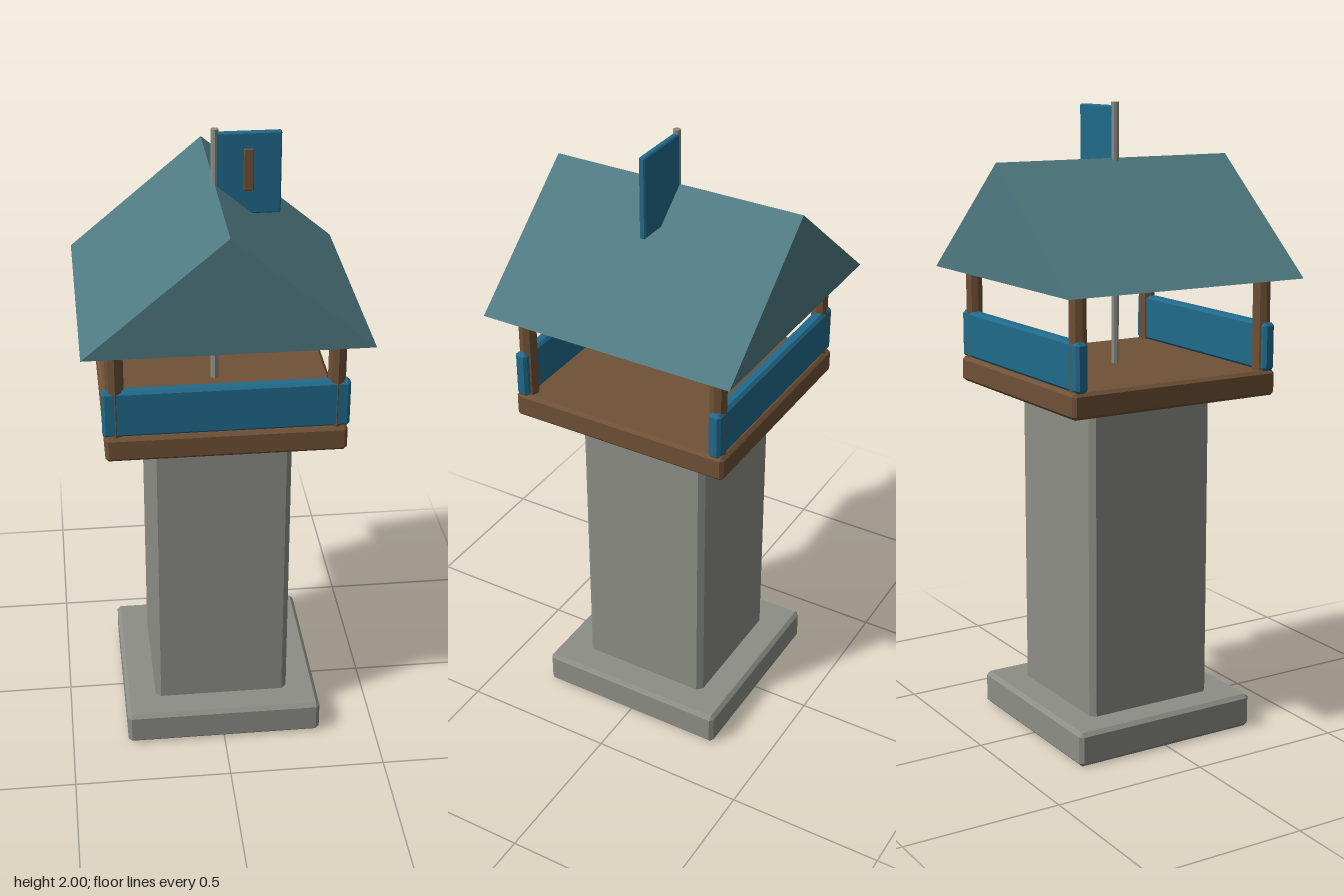
import * as THREE from 'three';
import { ConvexGeometry } from 'three/addons/geometries/ConvexGeometry.js';

const paint = (name, color) => {
  const m = new THREE.MeshStandardMaterial({ color, flatShading: true });
  m.name = name;
  return m;
};

// Box with all edges chamfered by c, as the hull of three points per corner
function chamferBox(w, h, d, c) {
  const pts = [];
  for (const sx of [-1, 1]) for (const sy of [-1, 1]) for (const sz of [-1, 1]) {
    const x = w / 2, y = h / 2, z = d / 2;
    pts.push(
      new THREE.Vector3(sx * x, sy * (y - c), sz * (z - c)),
      new THREE.Vector3(sx * (x - c), sy * y, sz * (z - c)),
      new THREE.Vector3(sx * (x - c), sy * (y - c), sz * z));
  }
  return new ConvexGeometry(pts);
}

export function createModel() {
  const model = new THREE.Group();
  model.name = 'watchtower';
  const stone = paint('stone', 0x8c8e86);
  const wood = paint('wood', 0x6f5136);
  const blue = paint('blue', 0x206a8a);
  const slate = paint('slate', 0x4f7a82);

  const add = (name, geometry, material, x, y, z) => {
    const mesh = new THREE.Mesh(geometry, material);
    mesh.name = name;
    mesh.position.set(x, y, z);
    model.add(mesh);
  };

  // Stone base and shaft, wooden deck
  add('base', chamferBox(0.636, 0.11, 0.636, 0.012), stone, 0, 0.055, 0);
  add('shaft', chamferBox(0.438, 1.06, 0.438, 0.017), stone, 0, 0.61, 0);
  add('deck', chamferBox(0.724, 0.08, 0.724, 0.01), wood, 0, 1.147, 0);

  // Corner posts
  const post = new THREE.CylinderGeometry(0.027, 0.027, 0.31, 8);
  for (const x of [-1, 1]) for (const z of [-1, 1])
    add('post', post, wood, x * 0.328, 1.335, z * 0.328);

  // Parapets on the front and back
  const parapet = chamferBox(0.736, 0.15, 0.04, 0.009);
  for (const z of [-1, 1]) add('parapet', parapet, blue, 0, 1.261, z * 0.334);

  // Gabled roof, a solid prism with the ridge along z
  const gable = new THREE.Shape([
    new THREE.Vector2(-0.425, 0),
    new THREE.Vector2(0.425, 0),
    new THREE.Vector2(0, 0.355),
  ]);
  add('roof', new THREE.ExtrudeGeometry(gable, { depth: 0.828, bevelEnabled: false }),
    slate, 0, 1.475, -0.414);

  // Flagpole through the roof, flag and its upright bar
  add('flagpole', new THREE.CylinderGeometry(0.012, 0.012, 0.82, 8), stone, 0, 1.59, 0);
  add('flag', chamferBox(0.196, 0.254, 0.02, 0.004), blue, 0.1, 1.862, 0);
  add('flagBar', chamferBox(0.03, 0.13, 0.009, 0.002), wood, 0.1, 1.875, 0.0135);

  return model;
}
